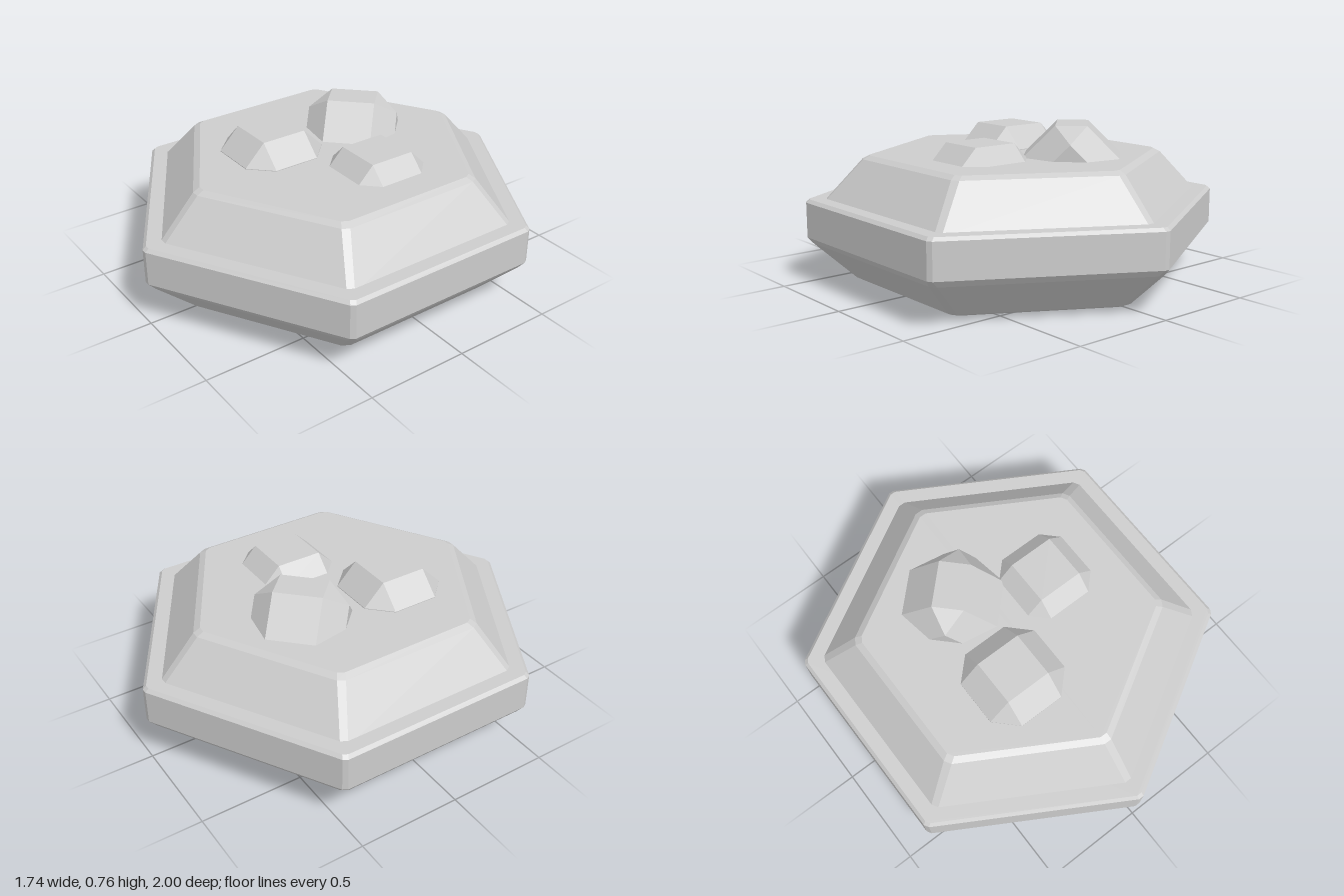
import * as THREE from 'three';
import { ConvexGeometry } from 'three/addons/geometries/ConvexGeometry.js';

// Hexagon with points toward +-z and each corner cut off by `cut` along its edges
function hexRing(apothem, cut, y) {
  const R = apothem / Math.cos(Math.PI / 6);
  const corner = (k) => new THREE.Vector3(R * Math.sin(k * Math.PI / 3), y, R * Math.cos(k * Math.PI / 3));
  const pts = [];
  for (let k = 0; k < 6; k++) {
    const c = corner(k);
    pts.push(c.clone().lerp(corner(k - 1), cut / R), c.clone().lerp(corner(k + 1), cut / R));
  }
  return pts;
}

// Closed flat-faced solid through [apothem, cut, y] rings, listed bottom to top
function hexSolid(profile) {
  const rings = profile.map((p) => hexRing(...p));
  const pos = [];
  const tri = (a, b, c) => pos.push(...a, ...b, ...c);
  const n = 12;
  for (let r = 0; r < rings.length - 1; r++) {
    const lo = rings[r], hi = rings[r + 1];
    for (let i = 0; i < n; i++) {
      const j = (i + 1) % n;
      tri(lo[i], lo[j], hi[j]);
      tri(lo[i], hi[j], hi[i]);
    }
  }
  const bottom = rings[0], top = rings[rings.length - 1];
  for (let i = 1; i < n - 1; i++) {
    tri(bottom[0], bottom[i + 1], bottom[i]);
    tri(top[0], top[i], top[i + 1]);
  }
  const g = new THREE.BufferGeometry();
  g.setAttribute('position', new THREE.Float32BufferAttribute(pos, 3));
  g.computeVertexNormals();
  return g;
}

// Cube with every edge and corner chamfered: `half` size, `inner` half size of each face
function chamferedCube(half, inner) {
  const pts = [];
  for (const sx of [-1, 1]) for (const sy of [-1, 1]) for (const sz of [-1, 1]) {
    pts.push(
      new THREE.Vector3(sx * half, sy * inner, sz * inner),
      new THREE.Vector3(sx * inner, sy * half, sz * inner),
      new THREE.Vector3(sx * inner, sy * inner, sz * half));
  }
  return new ConvexGeometry(pts);
}

export function createModel() {
  const model = new THREE.Group();
  model.name = 'hexTileWithRocks';
  const stone = new THREE.MeshStandardMaterial({ color: 0xcccccc });
  stone.name = 'light grey stone';
  stone.flatShading = true;

  const add = (name, geometry) => {
    const mesh = new THREE.Mesh(geometry, stone);
    mesh.name = name;
    model.add(mesh);
    return mesh;
  };

  // Base slab: tapered underside, upright rim, bevelled edges
  add('baseSlab', hexSolid([
    [0.65, 0.02, 0],
    [0.68, 0.025, 0.014],
    [0.85, 0.022, 0.19],
    [0.872, 0.015, 0.22],
    [0.872, 0.015, 0.388],
    [0.857, 0.015, 0.403],
  ]));

  // Raised upper slab with sloping sides
  add('upperSlab', hexSolid([
    [0.8, 0.02, 0.39],
    [0.64, 0.022, 0.588],
    [0.61, 0.02, 0.605],
  ]));

  // Rocks half sunk into the top
  add('frontRock', chamferedCube(0.215, 0.113)).position.set(-0.153, 0.495, 0.223);
  add('sideRock', chamferedCube(0.19, 0.112)).position.set(0.274, 0.492, -0.08);
  const tilted = add('tiltedRock', chamferedCube(0.22, 0.115));
  tilted.position.set(-0.142, 0.52, -0.255);
  tilted.rotation.set(Math.PI / 4, Math.PI / 4, 0, 'YXZ');

  return model;
}
